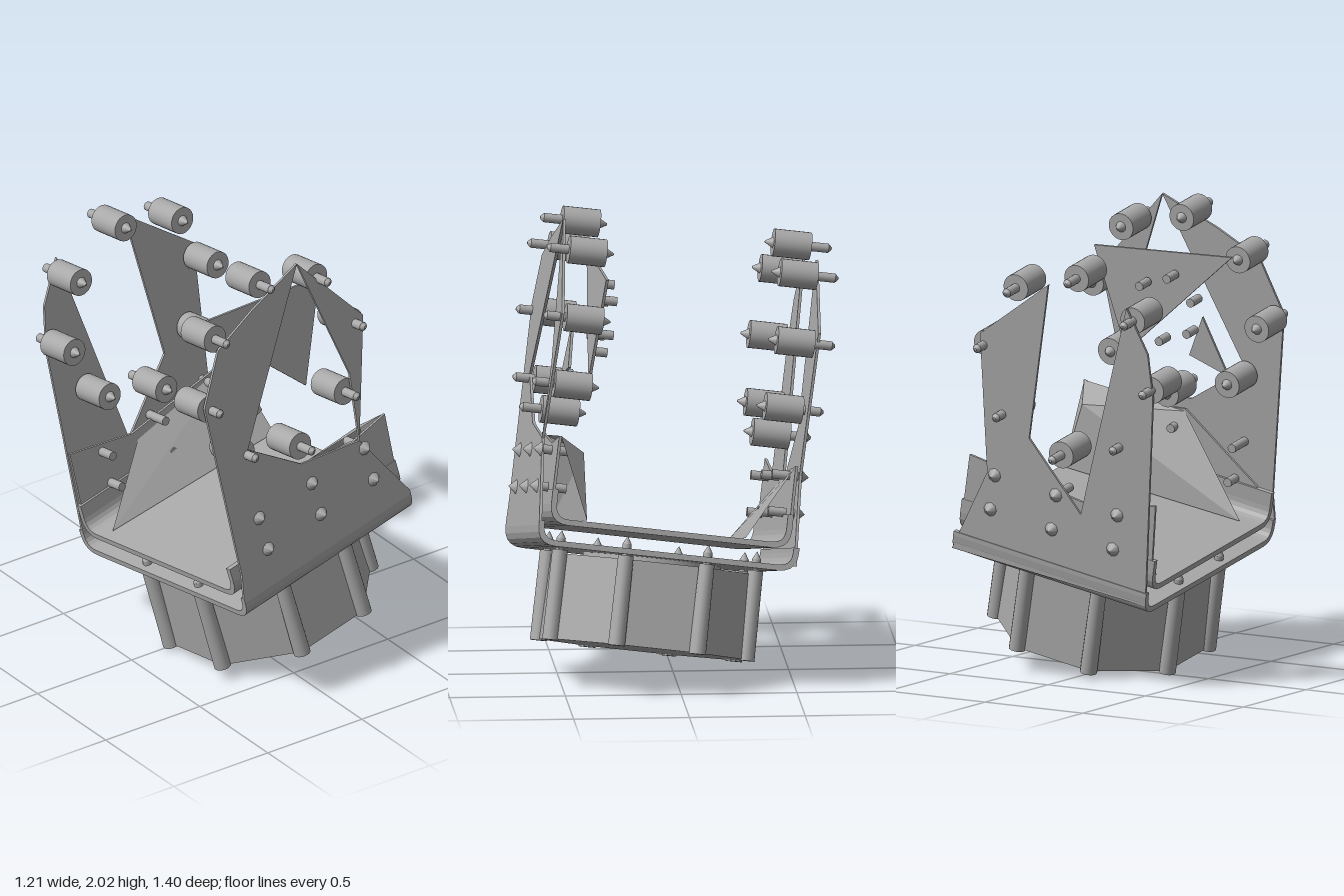
import * as THREE from 'three';

const grey = new THREE.MeshStandardMaterial({ color: 0xa8a8a8, side: THREE.DoubleSide });
grey.name = 'metal grey';

function add(parent, geometry, name, x = 0, y = 0, z = 0) {
  const mesh = new THREE.Mesh(geometry, grey);
  mesh.name = name;
  mesh.position.set(x, y, z);
  parent.add(mesh);
  return mesh;
}

// thin flat plate standing at depth z
function plate(parent, name, points, z, thick = 0.012) {
  const shape = new THREE.Shape(points.map(([x, y]) => new THREE.Vector2(x, y)));
  const g = new THREE.ExtrudeGeometry(shape, { depth: thick, bevelEnabled: false });
  return add(parent, g, name, 0, 0, z - thick / 2);
}

// single-layer sheet made from a fan of corners
function sheet(parent, name, corners) {
  const fan = new THREE.BufferGeometry().setFromPoints(corners.map((c) => new THREE.Vector3(...c)));
  const index = [];
  for (let i = 1; i < corners.length - 1; i++) index.push(0, i, i + 1);
  fan.setIndex(index);
  const g = fan.toNonIndexed();
  g.computeVertexNormals();
  return add(parent, g, name);
}

// U-shaped channel with rounded lower corners, running along x
function channel(parent, name, back, front, floor, top, t) {
  const r = 0.085;
  const s = new THREE.Shape();
  const a = -front, b = -back;
  s.moveTo(a, top);
  s.lineTo(a, floor + r);
  s.quadraticCurveTo(a, floor, a + r, floor);
  s.lineTo(b - r, floor);
  s.quadraticCurveTo(b, floor, b, floor + r);
  s.lineTo(b, top);
  s.lineTo(b - t, top);
  s.lineTo(b - t, floor + r);
  s.quadraticCurveTo(b - t, floor + t, b - r, floor + t);
  s.lineTo(a + r, floor + t);
  s.quadraticCurveTo(a + t, floor + t, a + t, floor + r);
  s.lineTo(a + t, top);
  s.closePath();
  const g = new THREE.ExtrudeGeometry(s, { depth: 0.96, bevelEnabled: false, curveSegments: 5 });
  g.rotateY(Math.PI / 2);
  return add(parent, g, name, -0.33, 0, 0);
}

// cylinder or cone lying along z; side +1 puts the first radius toward +z
function rod(r1, r2, length, side = 1, segments = 16) {
  return new THREE.CylinderGeometry(r1, r2, length, segments).rotateX(side * Math.PI / 2);
}

// roller with an outward pin and an inward pointed tip
function roller(parent, x, y, z, side) {
  const g = new THREE.Group();
  g.name = 'roller';
  g.position.set(x, y, z);
  add(g, rod(0.06, 0.06, 0.162, side, 24), 'rollerBody');
  add(g, rod(0.02, 0.02, 0.08, side), 'rollerPin', 0, 0, side * 0.121);
  add(g, rod(0.006, 0.02, 0.015, side), 'rollerPinEnd', 0, 0, side * 0.168);
  add(g, rod(0.024, 0.004, 0.036, side), 'rollerTip', 0, 0, -side * 0.099);
  parent.add(g);
}

function createModel() {
  const model = new THREE.Group();
  model.name = 'rollerBracket';
  const body = new THREE.Group();
  body.name = 'tiltedAssembly';
  model.add(body);

  // lean of the whole assembly
  const X = new THREE.Vector3(0.975, 0.205, -0.08).normalize();
  const Y = new THREE.Vector3(0.053, 0.134, 0.99).cross(X).normalize();
  const Z = X.clone().cross(Y);
  body.quaternion.setFromRotationMatrix(new THREE.Matrix4().makeBasis(X, Y, Z));

  // eight-sided base drum with corner columns
  const base = new THREE.Group();
  base.name = 'baseDrum';
  base.position.set(0.145, 0, 0.163);
  body.add(base);
  const start = Math.PI / 8;
  const drum = new THREE.CylinderGeometry(0.45, 0.465, 0.37, 8, 1, false, start).toNonIndexed();
  drum.computeVertexNormals();
  add(base, drum, 'drumWall', 0, 0.25, 0);
  add(base, new THREE.CylinderGeometry(0.3, 0.3, 0.06, 32), 'drumNeck', 0, 0.45, 0);
  for (let i = 0; i < 8; i++) {
    const a = start + i * Math.PI / 4;
    const x = Math.sin(a) * 0.463, z = Math.cos(a) * 0.463;
    add(base, new THREE.CylinderGeometry(0.034, 0.037, 0.39, 16), 'drumColumn', x, 0.255, z);
    add(base, new THREE.CylinderGeometry(0.02, 0.02, 0.06, 12), 'columnPin', x, 0.47, z);
    add(base, new THREE.ConeGeometry(0.02, 0.035, 12), 'columnPinTip', x, 0.517, z);
  }

  // nested channels
  channel(body, 'outerChannel', -0.4, 0.74, 0.455, 0.56, 0.025);
  channel(body, 'innerChannel', -0.36, 0.695, 0.55, 0.7, 0.025);

  // front arm: broad left blade and narrow right blade
  plate(body, 'frontArm', [
    [0.404, 1.867], [0.121, 1.793], [-0.101, 1.716], [-0.25, 1.5], [-0.306, 0.667], [-0.33, 0.56],
    [0.63, 0.56], [0.6, 0.62], [0.456, 0.918], [0.142, 0.984], [-0.099, 1.2],
  ], 0.734);
  plate(body, 'frontArmSideBlade', [
    [0.404, 1.867], [0.653, 1.454], [0.456, 0.918], [0.504, 1.238],
  ], 0.734);
  plate(body, 'frontInnerBrace', [[0.606, 1.62], [-0.06, 1.765], [0.388, 1.186]], 0.55);
  plate(body, 'frontInnerTab', [[-0.09, 1.2], [0.11, 1.24], [0.07, 1.43]], 0.6);

  // back arm: two prongs with a notch
  plate(body, 'backArm', [
    [-0.33, 0.5], [0.63, 0.48], [0.507, 0.874], [0.625, 1.49], [0.328, 1.809], [0.327, 1.088],
    [0.034, 0.82], [-0.06, 1.818], [-0.19, 1.64], [-0.242, 1.445],
  ], -0.39);

  // inner walls
  plate(body, 'frontInnerWall', [[-0.32, 0.66], [0.62, 0.66], [0.645, 0.93], [0.456, 0.9], [0.14, 0.95]], 0.688);
  plate(body, 'backInnerWall', [[-0.32, 0.66], [0.62, 0.66], [0.62, 0.91], [0.034, 0.86], [-0.3, 0.95]], -0.353);

  // sloped gussets bracing the inner walls
  sheet(body, 'backGusset', [[-0.28, 0.58, -0.22], [0.61, 0.58, -0.165], [0.61, 0.9, -0.345], [0.05, 0.82, -0.345]]);
  const peak = [0.58, 0.87, 0.57], foot = [0.61, 0.58, 0.53], corner = [0.643, 0.93, 0.685];
  sheet(body, 'frontGusset', [peak, foot, [-0.25, 0.58, 0.56], [0.14, 0.94, 0.68], corner]);
  sheet(body, 'frontGussetEnd', [foot, peak, corner]);

  // one ring of rollers per arm
  for (const [z, side] of [[0.635, 1], [-0.29, -1]]) {
    for (let i = 0; i < 8; i++) {
      const a = i * Math.PI / 4 - 0.04;
      roller(body, 0.192 + Math.cos(a) * 0.41, 1.458 + Math.sin(a) * 0.41, z, side);
    }
  }

  // small ring of studs inside the front arm
  for (let i = 0; i < 6; i++) {
    const a = (i + 0.5) * Math.PI / 3;
    add(body, rod(0.02, 0.02, 0.075, 1, 12), 'ringStud',
      0.195 + Math.cos(a) * 0.147, 1.465 + Math.sin(a) * 0.147, 0.495);
  }

  // pointed fasteners through the lower part of both arms
  for (const [z, side] of [[0.734, 1], [-0.39, -1]]) {
    for (const x of [-0.14, 0.165, 0.47]) {
      for (const y of [0.71, 0.87]) {
        add(body, rod(0.002, 0.033, 0.035, side, 8), 'fastenerTip', x, y, z + side * 0.022);
        add(body, rod(0.02, 0.02, 0.12, side, 12), 'fastenerShank', x, y, z - side * 0.06);
      }
    }
  }

  return model;
}

export { createModel };
